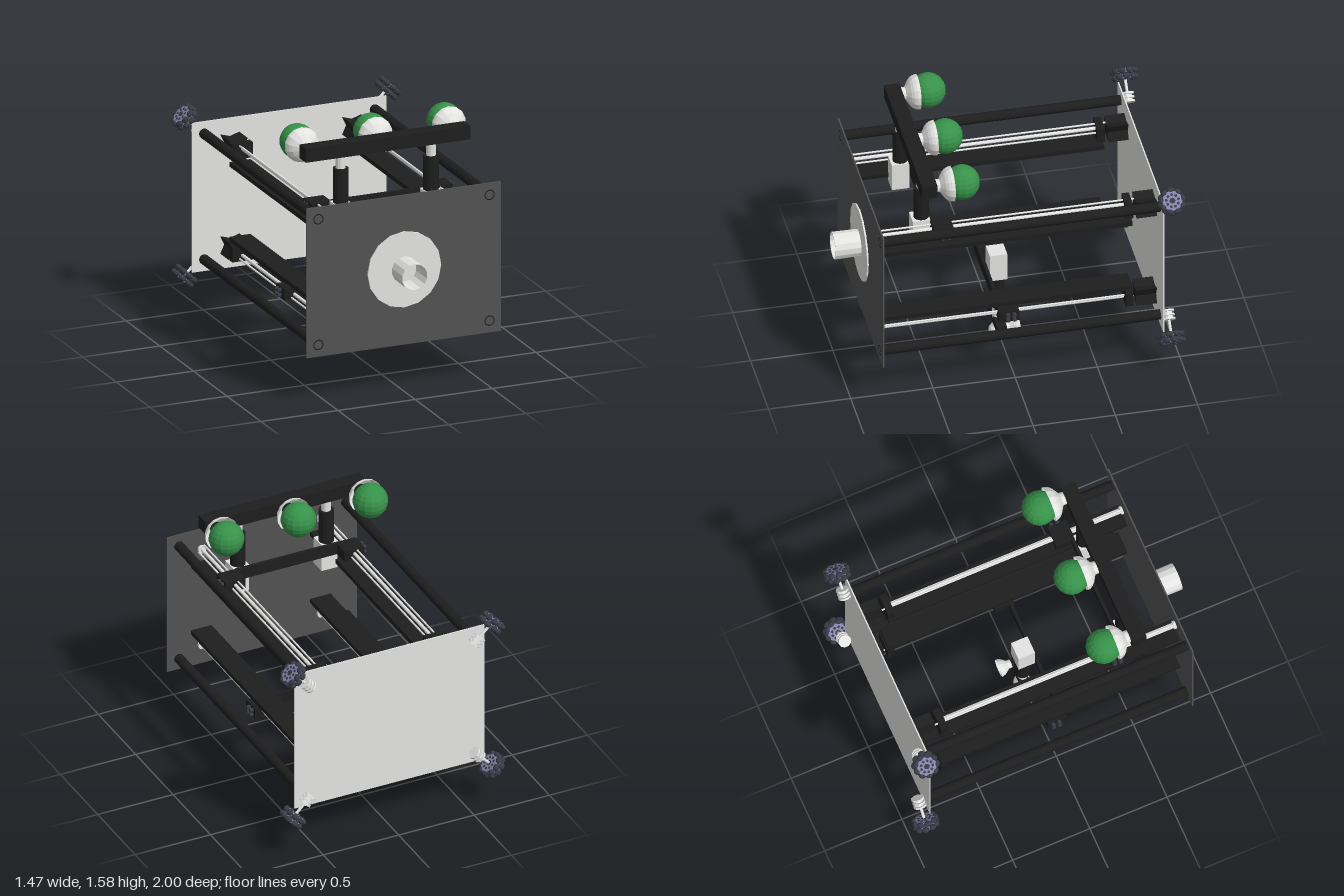
import * as THREE from 'three';

const material = (name, color, extra = {}) => {
  const m = new THREE.MeshStandardMaterial({ color, ...extra });
  m.name = name;
  return m;
};

export function createModel() {
  const flat = { flatShading: true };
  const black = material('black', 0x1e1e1e, flat);
  const frontGrey = material('dark grey', 0x525252);
  const light = material('light grey', 0xe4e4e2, { ...flat, side: THREE.DoubleSide });
  const green = material('green', 0x37924a, flat);
  const rollerMat = material('roller grey', 0x3a3a46, flat);
  const hubMat = material('hub violet', 0x8484ac, flat);

  const root = new THREE.Group();
  root.name = 'ballMachine';
  const MID = 0.755; // height of the mirror plane between the upper and lower rails
  const CX = 0.01;   // the inner mechanism sits slightly off centre

  const add = (name, geo, mat, x, y, z, parent = root) => {
    const m = new THREE.Mesh(geo, mat);
    m.name = name;
    m.position.set(x, y, z);
    parent.add(m);
    return m;
  };
  // box given by its min and max on every axis
  const box = (name, mat, x0, x1, y0, y1, z0, z1) =>
    add(name, new THREE.BoxGeometry(x1 - x0, y1 - y0, z1 - z0), mat,
      (x0 + x1) / 2, (y0 + y1) / 2, (z0 + z1) / 2);
  const rodZ = (name, mat, r, x, y, z0, z1, n = 12) =>
    add(name, new THREE.CylinderGeometry(r, r, z1 - z0, n).rotateX(Math.PI / 2), mat, x, y, (z0 + z1) / 2);
  const rodY = (name, mat, r, x, y0, y1, z) =>
    add(name, new THREE.CylinderGeometry(r, r, y1 - y0, 14), mat, x, (y0 + y1) / 2, z);

  // end plates
  box('frontPlate', frontGrey, -0.63, 0.63, 0.285, 1.225, 0.824, 0.833);
  box('backPlate', light, -0.63, 0.63, 0.285, 1.225, -0.878, -0.87);

  // round launch flange and open barrel
  rodZ('flange', light, 0.238, 0, 0.76, 0.833, 0.843, 16);
  const barrel = [[0.076, 0.845], [0.08, 1], [0.085, 1], [0.083, 0.84]]
    .map(([r, z]) => new THREE.Vector2(r, z));
  add('barrel', new THREE.LatheGeometry(barrel, 14).rotateX(Math.PI / 2), light, 0, 0.76, 0);

  // four-pointed drive motor outline
  const star = new THREE.Shape();
  for (let i = 0; i < 8; i++) {
    const a = (i * Math.PI) / 4;
    const p = i % 2 ? [Math.sign(Math.cos(a)) * 0.062, Math.sign(Math.sin(a)) * 0.055]
      : [Math.cos(a) * 0.036, Math.sin(a) * 0.036];
    if (i) star.lineTo(...p); else star.moveTo(...p);
  }
  const motorGeo = new THREE.ExtrudeGeometry(star, { depth: 0.125, bevelEnabled: false });

  // wheel with two staggered rows of rollers, axle along local y
  const hubGeo = new THREE.CylinderGeometry(0.061, 0.061, 0.022, 16);
  const rollerGeo = new THREE.SphereGeometry(0.018, 8, 6).scale(1, 0.95, 1.35);
  const capGeo = new THREE.CylinderGeometry(0.018, 0.018, 0.028, 8);
  const boltGeo = new THREE.CylinderGeometry(0.009, 0.009, 0.026, 6);
  const discGeo = new THREE.CylinderGeometry(0.04, 0.04, 0.012, 10);
  function makeWheel() {
    const g = new THREE.Group();
    g.name = 'rollerWheel';
    for (const row of [-1, 1]) {
      const y = row * 0.018;
      add('wheelHub', hubGeo, hubMat, 0, y, 0, g);
      add('hubCap', capGeo, rollerMat, 0, y, 0, g);
      for (let i = 0; i < 9; i++) {
        const a = ((i + (row > 0 ? 0.5 : 0)) * 2 * Math.PI) / 9;
        const c = Math.cos(a), s = Math.sin(a);
        add('wheelRoller', rollerGeo, rollerMat, c * 0.066, y, s * 0.066, g).rotation.y = -a;
        add('hubBolt', boltGeo, rollerMat, c * 0.037, y, s * 0.037, g);
      }
    }
    add('axle', new THREE.CylinderGeometry(0.009, 0.009, 0.1, 8), light, 0, -0.08, 0, g);
    for (const y of [-0.115, -0.14, -0.165]) add('wheelMotorDisc', discGeo, light, 0, y, 0, g);
    add('wheelMotor', new THREE.CylinderGeometry(0.026, 0.026, 0.06, 10), light, 0, -0.14, 0, g);
    return g;
  }

  const up = new THREE.Vector3(0, 1, 0);
  for (const sx of [-1, 1]) for (const sy of [-1, 1]) {
    const Y = (d) => MID + sy * d;
    // corner tube and its ring on the front plate
    rodZ('frameTube', black, 0.031, sx * 0.553, Y(0.395), -0.87, 0.826, 16);
    add('tubeRing', new THREE.RingGeometry(0.026, 0.033, 24), black, sx * 0.555, Y(0.395), 0.835);

    // flat rail, lead screw, guide rods, bearing and motor
    const x = CX + sx * 0.395;
    box('rail', black, x - 0.068, x + 0.068, Y(0.235) - 0.014, Y(0.235) + 0.014, -0.72, 0.824);
    rodZ('leadScrew', light, 0.011, x, Y(0.335), -0.7, 0.82);
    rodZ('screwEnd', light, 0.026, x, Y(0.335), 0.806, 0.822);
    rodZ('guideRod', light, 0.006, x - 0.018, Y(0.355), -0.87, 0.82, 8);
    rodZ('guideRod', light, 0.006, x + 0.018, Y(0.315), -0.7, 0.82, 8);
    box('bearing', black, x - 0.066, x + 0.066, Y(0.322) - 0.048, Y(0.322) + 0.048, -0.725, -0.68);
    add('driveMotor', motorGeo, black, x, Y(0.32), -0.87);

    // carriage running on the rods, with side bolts
    const cz = sy > 0 ? 0.426 : 0.03;
    box('carriage', black, x - 0.066, x + 0.066, Y(0.33) - 0.036, Y(0.33) + 0.036, cz - 0.061, cz + 0.061);
    for (const by of [-0.016, 0.016]) for (const bz of [-0.03, 0.008]) {
      add('carriageBolt', new THREE.CylinderGeometry(0.013, 0.013, 0.024, 8).rotateZ(Math.PI / 2),
        rollerMat, x + sx * 0.076, Y(0.33) + by, cz + bz);
    }

    const wheel = makeWheel();
    wheel.position.set(sx * 0.66, Y(0.5), -0.917);
    wheel.quaternion.setFromUnitVectors(up, new THREE.Vector3(sx, sy, 0).normalize());
    root.add(wheel);
  }

  // cross bars between the carriages
  box('upperCrossBar', black, -0.33, 0.35, 1.05, 1.125, 0.465, 0.485);
  box('lowerCrossBar', black, -0.33, 0.35, 0.388, 0.463, 0.06, 0.08);

  // bell-shaped cup: closed end at the origin, mouth along +y
  const cupGeo = (r, stem, depth, stemR) => {
    const pts = [new THREE.Vector2(0, 0), new THREE.Vector2(stemR, 0), new THREE.Vector2(stemR, stem)];
    const t0 = Math.asin(stemR / r);
    for (let i = 1; i <= 5; i++) {
      const t = t0 + (i / 5) * (Math.PI / 2 - t0);
      pts.push(new THREE.Vector2(r * Math.sin(t), stem + depth * (1 - Math.cos(t))));
    }
    return new THREE.LatheGeometry(pts, 14);
  };

  // upper lifting arms
  for (const s of [-1, 1]) {
    const x = CX + 0.005 + s * 0.293;
    box('armBox', light, x - 0.053, x + 0.053, 0.945, 1.125, 0.485, 0.592);
    rodY('armSleeve', black, 0.047, x, 1.125, 1.34, 0.53);
    rodY('armPiston', light, 0.03, x, 1.34, 1.42, 0.53);
  }
  box('upperBeam', black, -0.522, 0.545, 1.418, 1.504, 0.482, 0.575);

  // three balls held in cups
  const bigCup = cupGeo(0.109, 0.025, 0.078, 0.04).rotateX(-Math.PI / 2);
  for (const s of [-1, 0, 1]) {
    const x = CX + s * 0.477;
    add('ballCup', bigCup, light, x, 1.464, 0.484);
    add('ball', new THREE.SphereGeometry(0.107, 16, 11), green, x, 1.467, 0.32);
  }

  // lower arm with three suction cups
  box('lowerArmBox', light, CX - 0.056, CX + 0.056, 0.4, 0.583, -0.047, 0.06);
  rodY('lowerSleeve', black, 0.047, CX, 0.187, 0.4, 0.004);
  rodY('lowerPiston', light, 0.03, CX, 0.1, 0.19, 0.004);
  box('lowerBeam', black, -0.13, 0.14, 0.055, 0.11, -0.028, 0.03);
  const smallCup = cupGeo(0.055, 0.02, 0.058, 0.026);
  for (const s of [-1, 1]) {
    add('sideCup', smallCup.clone().rotateX(-Math.PI / 2), light, CX + s * 0.104, 0.088, -0.028);
  }
  add('bottomCup', smallCup.clone().rotateX(Math.PI), light, CX, 0.071, 0.002);

  return root;
}
